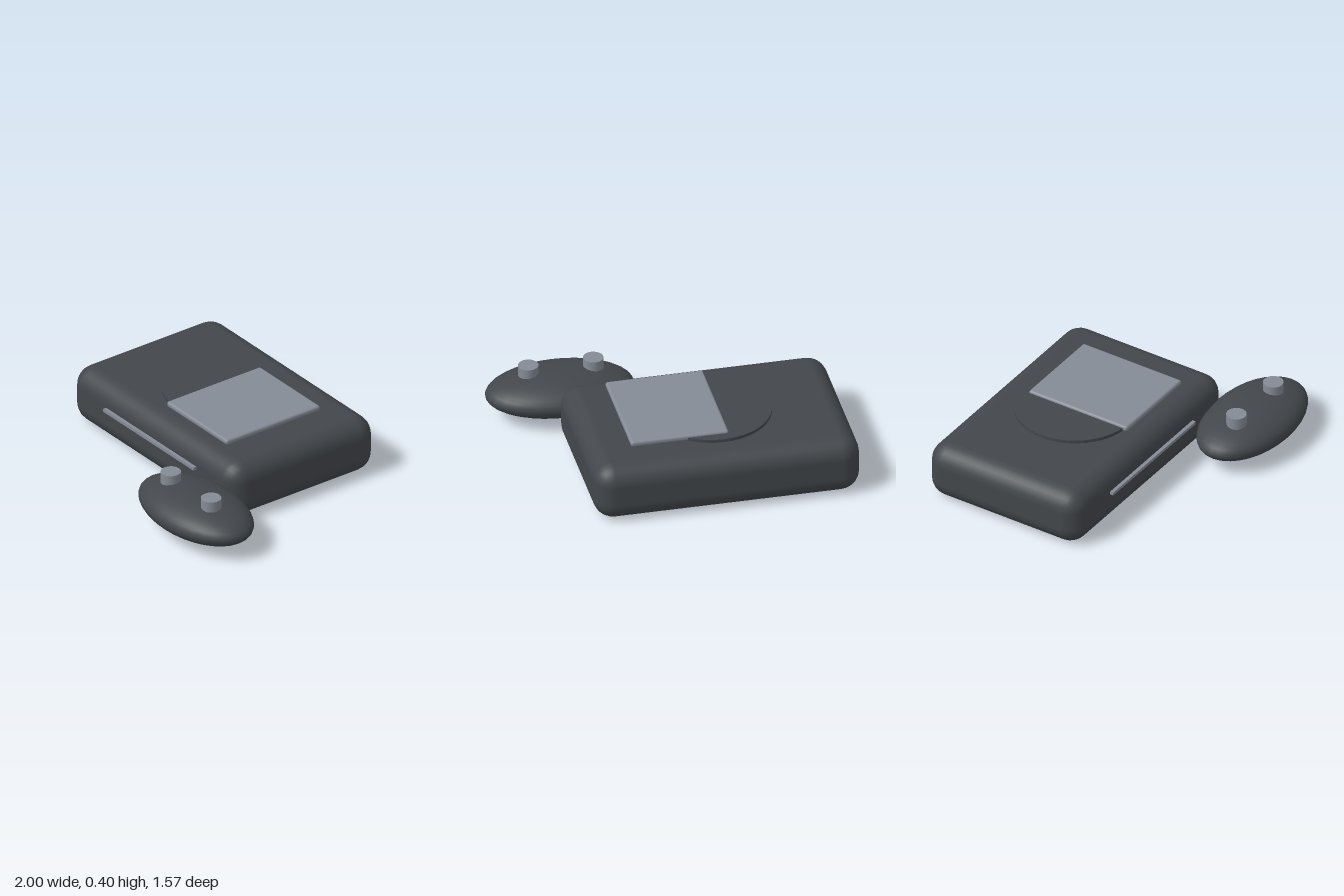
import * as THREE from 'three';
import { RoundedBoxGeometry } from 'three/addons/geometries/RoundedBoxGeometry.js';

export function createModel() {
  const model = new THREE.Group();
  const charcoal = new THREE.MeshStandardMaterial({ color: 0x43474b });
  charcoal.name = 'charcoal';
  const grey = new THREE.MeshStandardMaterial({ color: 0x858b96 });
  grey.name = 'grey';

  function add(name, geometry, material, x, y, z) {
    const mesh = new THREE.Mesh(geometry, material);
    mesh.name = name;
    mesh.position.set(x, y, z);
    model.add(mesh);
    return mesh;
  }

  // Console body with soft edges
  add('consoleBody', new RoundedBoxGeometry(1.613, 0.36, 1.08, 3, 0.12), charcoal, -0.193, 0.18, -0.246);

  // Round lid and the plate lying across it
  add('discLid', new THREE.CylinderGeometry(0.366, 0.366, 0.02, 48), charcoal, -0.195, 0.379, -0.245);
  add('topPlate', new RoundedBoxGeometry(0.593, 0.036, 0.697, 3, 0.015), grey, 0.058, 0.386, -0.2);

  // Thin strip along the front face
  add('frontSlot', new THREE.BoxGeometry(0.885, 0.02, 0.025), grey, -0.193, 0.22, 0.3035);

  // Flattened controller
  const pad = new THREE.SphereGeometry(1, 32, 20).scale(0.449, 0.125, 0.264);
  add('controller', pad, charcoal, 0.547, 0.154, 0.521);

  // Pair of thumbsticks
  for (const [name, x] of [['rightStick', 0.335], ['leftStick', 0.73]]) {
    add(name, new THREE.CylinderGeometry(0.061, 0.061, 0.08, 24), grey, x, 0.285, 0.549);
  }

  return model;
}
